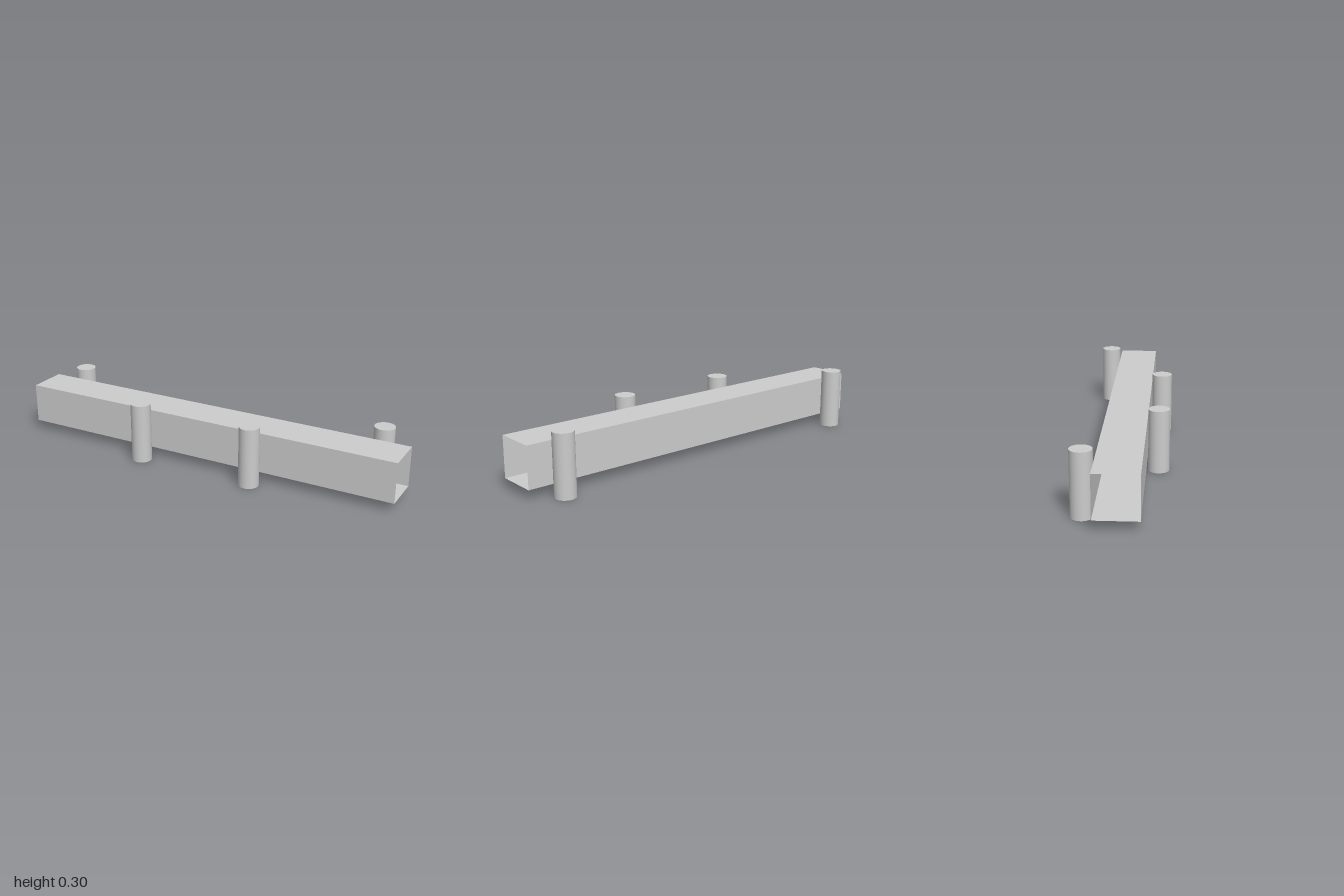
import * as THREE from 'three';

export function createModel() {
  const model = new THREE.Group();
  const grey = new THREE.MeshStandardMaterial({ color: 0xcccccc, side: THREE.DoubleSide });
  grey.name = 'light grey';

  // Hollow square beam, open at both ends: four thin walls around the x axis
  const beam = new THREE.Group();
  beam.name = 'beam';
  beam.position.y = 0.15;
  ['frontWall', 'bottomWall', 'backWall', 'topWall'].forEach((name, i) => {
    const geometry = new THREE.PlaneGeometry(2, 0.2);
    geometry.translate(0, 0, 0.1).rotateX(i * Math.PI / 2);
    const wall = new THREE.Mesh(geometry, grey);
    wall.name = name;
    beam.add(wall);
  });
  model.add(beam);

  // Upright posts: an inner pair in front, an outer pair behind
  const postGeometry = new THREE.CylinderGeometry(0.05, 0.05, 0.3, 32);
  const addPost = (name, x, z) => {
    const post = new THREE.Mesh(postGeometry, grey);
    post.name = name;
    post.position.set(x, 0.15, z);
    model.add(post);
  };
  for (const [side, s] of [['Left', 1], ['Right', -1]]) {
    addPost('frontPost' + side, s * 0.3, 0.153);
    addPost('backPost' + side, s * 0.85, -0.153);
  }
  return model;
}
